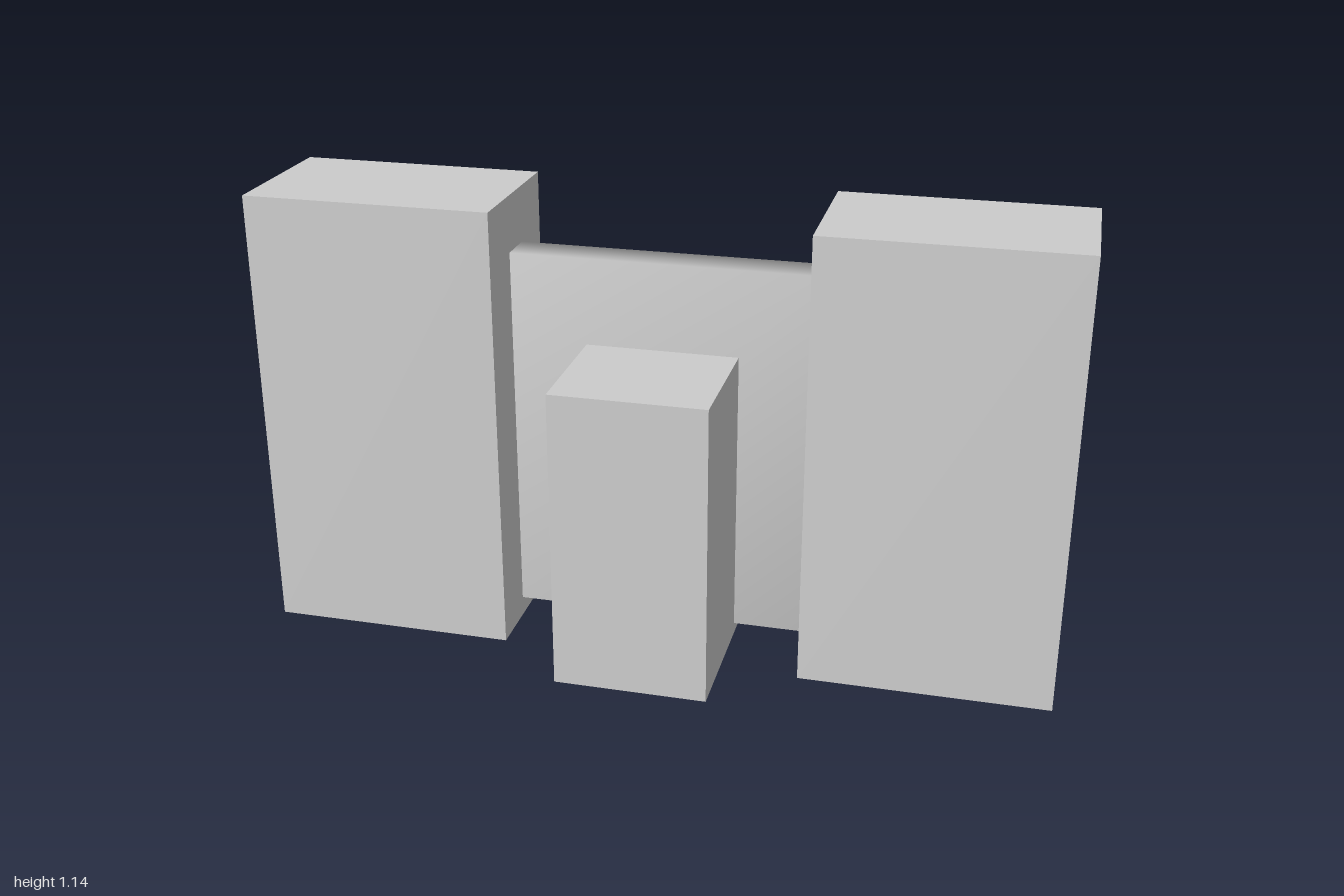
import * as THREE from 'three';
import { mergeVertices } from 'three/addons/utils/BufferGeometryUtils.js';

const material = new THREE.MeshStandardMaterial({ color: 0xcccccc });

// Box given by its size, standing with its underside at height y
function block(name, w, h, d, x, y) {
  const mesh = new THREE.Mesh(new THREE.BoxGeometry(w, h, d), material);
  mesh.name = name;
  mesh.position.set(x, y + h / 2, 0);
  return mesh;
}

export function createModel() {
  const model = new THREE.Group();
  model.name = 'gateBlocks';

  // Tall side blocks, mirrored
  for (const [name, side] of [['leftBlock', 1], ['rightBlock', -1]]) {
    model.add(block(name, 0.62, 1.14, 0.38, side * 0.69, 0));
  }

  // Low central block, deeper than the sides
  model.add(block('centerBlock', 0.38, 0.76, 0.76, 0, 0.02));

  // Thin connecting panel with normals smoothed across its edges
  const panel = block('connectingPanel', 0.76, 0.95, 0.095, 0, 0.05);
  panel.geometry.deleteAttribute('normal');
  panel.geometry.deleteAttribute('uv');
  panel.geometry = mergeVertices(panel.geometry);
  panel.geometry.computeVertexNormals();
  model.add(panel);

  return model;
}
